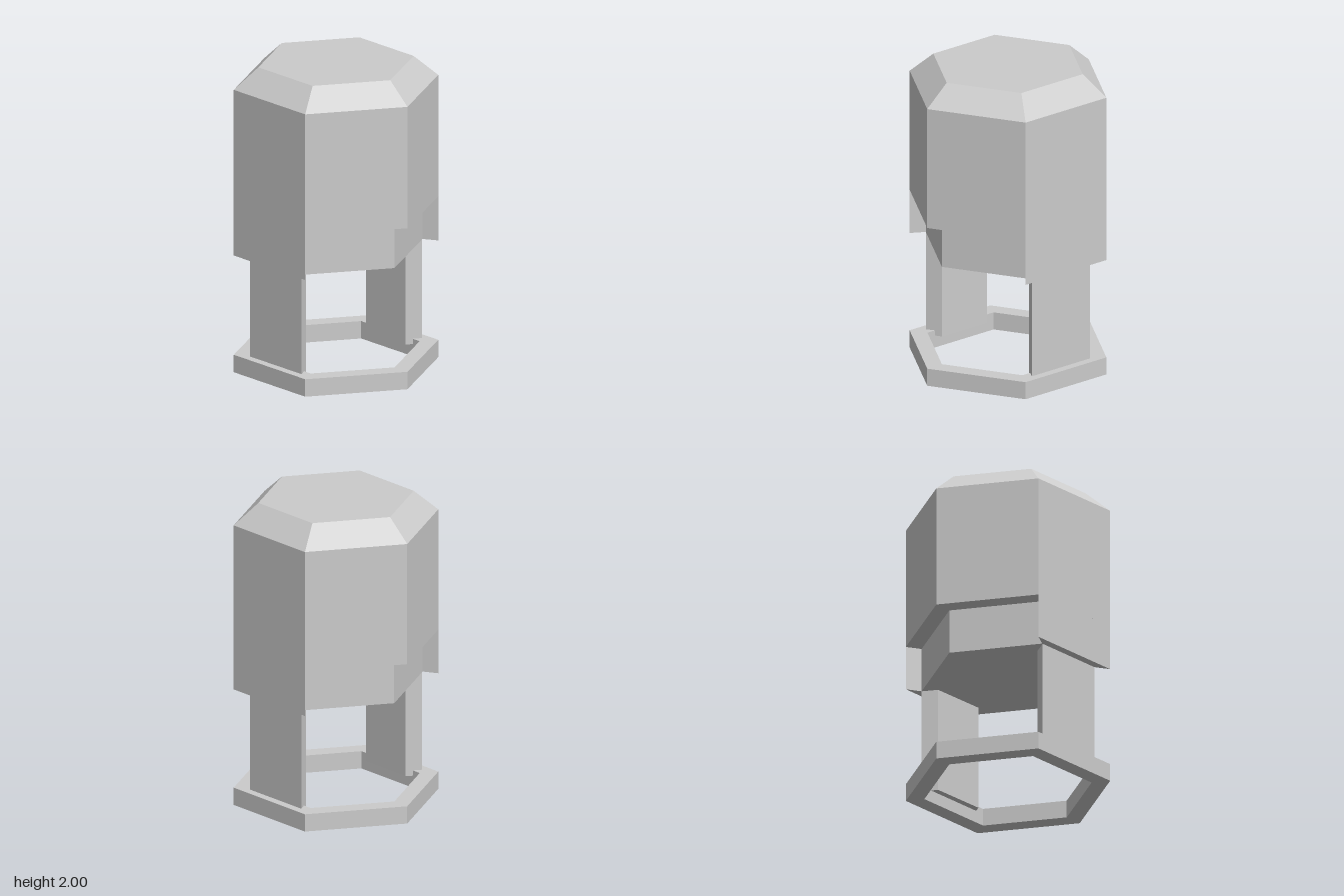
import * as THREE from 'three';

const R = 0.656;       // outer hexagon radius, corners on the x axis
const RIN = 0.537;     // inner hexagon radius

// Listed from +x towards -z, so that walls of holes face inwards
const hexagon = (r) => Array.from({ length: 6 }, (_, i) => [
  r * Math.cos(i * Math.PI / 3), -r * Math.sin(i * Math.PI / 3)]);

// Repeats a half outline turned by 180 degrees to close it
const twofold = (half) => [...half, ...half.map(([x, z]) => [-x, -z])];

export function createModel() {
  const group = new THREE.Group();
  const material = new THREE.MeshStandardMaterial({ color: 0xcccccc, flatShading: true });

  const add = (name, geometry) => {
    const mesh = new THREE.Mesh(geometry, material);
    mesh.name = name;
    group.add(mesh);
  };

  // Upright prism over an outline of [x, z] points
  const prism = (outline, y0, y1, hole) => {
    const toVectors = (pts) => pts.map(([x, z]) => new THREE.Vector2(x, -z));
    const shape = new THREE.Shape(toVectors(outline));
    if (hole) shape.holes.push(new THREE.Path(toVectors(hole)));
    const geometry = new THREE.ExtrudeGeometry(shape, { depth: y1 - y0, bevelEnabled: false });
    return geometry.rotateX(-Math.PI / 2).translate(0, y0, 0);
  };

  // Base ring
  add('baseRing', prism(hexagon(R), 0, 0.115, hexagon(RIN)));

  // Two opposite legs, trapezoid in section, reaching a little into the ring
  const legOutline = [[-0.565, 0.055], [-0.328, 0.465], [-0.277, 0.372], [-0.457, 0.055]];
  for (const [name, s] of [['rightLeg', 1], ['leftLeg', -1]]) {
    add(name, prism(legOutline.map(([x, z]) => [s * x, s * z]), 0.08, 0.77));
  }

  // Lower body: recessed on four sides, flush on the two sides above the legs
  add('lowerBody', prism(twofold([
    [0.268, 0.465], [-0.328, 0.465], [-0.328, 0.568], [-0.656, 0], [-0.567, 0.052],
  ]), 0.77, 1.062));

  // Upper body
  add('upperBody', prism(hexagon(R), 1.062, 1.863));

  // Chamfered top
  add('chamferedTop', new THREE.CylinderGeometry(0.498, R, 0.137, 6)
    .rotateY(Math.PI / 2).translate(0, 1.9315, 0));

  return group;
}
